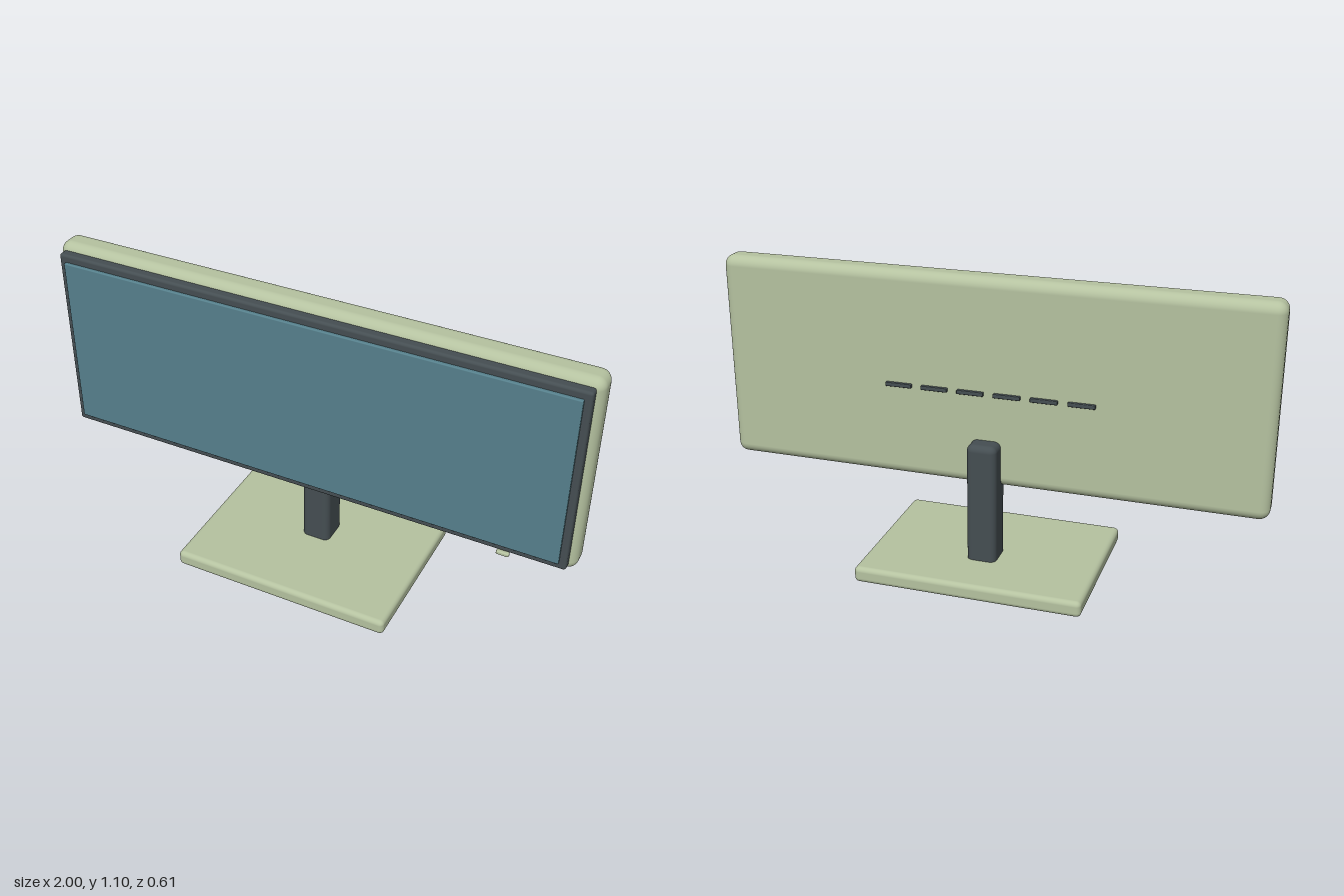
import * as THREE from 'three';
import { RoundedBoxGeometry } from 'three/addons/geometries/RoundedBoxGeometry.js';

const shell = new THREE.MeshStandardMaterial({ color: 0xb5c2a0 });
const dark = new THREE.MeshStandardMaterial({ color: 0x454e52 });
const glass = new THREE.MeshStandardMaterial({ color: 0x56808c });

// Rounded box given by its [min, max] extent on each axis
function block(name, [x0, x1], [y0, y1], [z0, z1], radius, material) {
  const geometry = new RoundedBoxGeometry(x1 - x0, y1 - y0, z1 - z0, 4, radius);
  const mesh = new THREE.Mesh(geometry, material);
  mesh.position.set((x0 + x1) / 2, (y0 + y1) / 2, (z0 + z1) / 2);
  mesh.name = name;
  return mesh;
}

export function createModel() {
  const model = new THREE.Group();
  model.name = 'monitor';

  // Stand
  model.add(block('base', [-0.42, 0.42], [0, 0.06], [-0.305, 0.305], 0.018, shell));
  model.add(block('neck', [-0.055, 0.055], [0.04, 0.508], [-0.12, 0], 0.024, dark));

  // Display: housing, bezel and screen stacked towards the front
  model.add(block('housing', [-1, 1], [0.333, 1.1], [-0.054, 0.054], 0.038, shell));
  model.add(block('bezel', [-0.975, 0.975], [0.36, 1.075], [0.045, 0.085], 0.01, dark));
  model.add(block('screen', [-0.95, 0.95], [0.389, 1.047], [0.075, 0.097], 0.004, glass));

  // Power button on the lower bezel
  model.add(block('powerButton', [0.735, 0.781], [0.352, 0.367], [0.083, 0.1], 0.005, shell));

  // Row of vent slots across the back
  const vents = new THREE.Group();
  vents.name = 'vents';
  for (let i = 0; i < 6; i++) {
    const x = -0.345 + i * 0.134;
    vents.add(block('ventSlot', [x - 0.049, x + 0.049], [0.676, 0.691], [-0.066, -0.05], 0.003, dark));
  }
  model.add(vents);

  return model;
}
